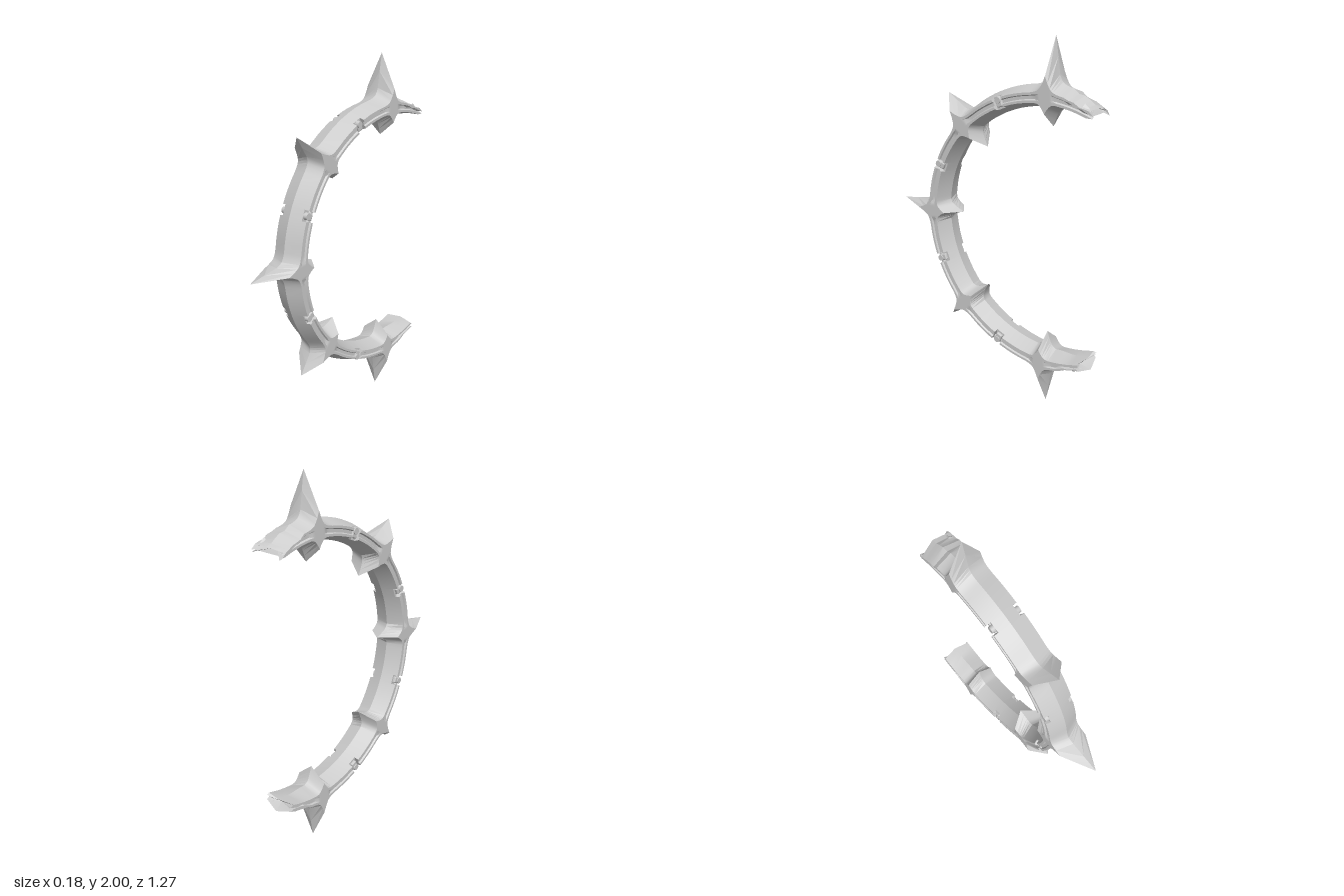
import * as THREE from 'three';
import { toCreasedNormals } from 'three/addons/utils/BufferGeometryUtils.js';
import { RoundedBoxGeometry } from 'three/addons/geometries/RoundedBoxGeometry.js';

const DEG = Math.PI / 180;
const HALF = 0.09;           // half width of the band
const CENTER_Z = -0.36;      // the arc is centred on (y = 1, z = CENTER_Z)
const BREAK = 98, END = 111; // where the broken ends begin and finish
const SPIKES = [-90, -45, 0, 45, 90];
const NOTCHES = [-67.5, -22.5, 22.5, 67.5];

// Radius profiles beside a spike, by angular distance in degrees
const STEPS = [0, 1, 2, 2.7, 3.5, 5, 7];
const OUTER_RIDGE = [1.0, 0.905, 0.82, 0.798, 0.785, 0.775, 0.77];
const OUTER_EDGE = [0.82, 0.788, 0.765, 0.755, 0.749, 0.743, 0.74];
const INNER_RIDGE = [0.565, 0.597, 0.625, 0.64, 0.65, 0.66, 0.66];
const INNER_EDGE = [0.64, 0.659, 0.674, 0.682, 0.687, 0.69, 0.69];

// Side face: share of the way from outer to inner edge, and groove depth
const SIDE = [[0, 0], [0.24, 0], [0.34, 1], [0.66, 1], [0.76, 0], [1, 0]];

const { lerp, clamp } = THREE.MathUtils;

function sample(table, d) {
  if (d >= 7) return table[6];
  const i = STEPS.findIndex((s, k) => k < 6 && d < STEPS[k + 1]);
  return lerp(table[i], table[i + 1], (d - STEPS[i]) / (STEPS[i + 1] - STEPS[i]));
}

const nearest = (list, a) => Math.min(...list.map(s => Math.abs(a - s)));
const hash = n => { const s = Math.sin(n * 12.9898) * 43758.5453; return s - Math.floor(s); };

// Point on the arc: angle in degrees from the front, sideways x, radius
const place = (a, x, r) =>
  new THREE.Vector3(x, 1 + r * Math.sin(a * DEG), CENTER_Z + r * Math.cos(a * DEG));

// One closed cross-section of the band, ordered outer ridge, left, inner ridge, right
function section(a) {
  const d = nearest(SPIKES, a);
  const w = nearest(NOTCHES, a) < 2.25 ? 0.066 : HALF;
  const short = Math.abs(Math.abs(a) - 45) < 8;
  let ridge = sample(OUTER_RIDGE, d);
  if (short) ridge = 0.77 + (ridge - 0.77) * 0.7;
  const inner = sample(INNER_RIDGE, d);
  const oe = lerp(ridge, sample(OUTER_EDGE, d), w / HALF);
  const ie = lerp(inner, sample(INNER_EDGE, d), w / HALF);
  const groove = 0.009 * clamp((d - 3) / 2, 0, 1);
  const left = SIDE.map(([t, g]) => [w - g * groove, lerp(oe, ie, t)]);
  const right = left.map(([x, r]) => [-x, r]).reverse();
  const points = [[0, ridge], ...left, [0, inner], ...right];

  // Wear the ends down to an uneven fracture
  const t = clamp((Math.abs(a) - BREAK) / (END - BREAK), 0, 1);
  const top = a > 0;
  return points.map(([x, r], j) => {
    let angle = a, radius = r;
    if (t > 0) {
      const rough = hash(j * 3.7 + (top ? 5 : 31));
      const chip = hash(j * 1.3 + Math.round(a));
      const worn = top && x < 0.03 ? 0.035 : 0.014;
      if (r > 0.72) radius -= t * worn + (t < 1 ? 0.012 : 0) * chip;
      if (r < 0.68) radius += t * 0.026 + 0.008 * chip * t;
      angle += Math.sign(a) * t * (rough * 3.2 - 2.1);
    }
    return place(angle, x, radius);
  });
}

function bandGeometry() {
  const angles = new Set();
  for (let a = -BREAK; a <= BREAK; a += 3.5) {
    if (nearest(SPIKES, a) > 8 && nearest(NOTCHES, a) > 3.5) angles.add(a);
  }
  for (const s of SPIKES) for (const d of STEPS) angles.add(s - d).add(s + d);
  for (const n of NOTCHES) for (const d of [2.24, 2.26]) angles.add(n - d).add(n + d);
  for (let k = 0; k <= 5; k++) {
    const a = lerp(BREAK, END, k / 5);
    angles.add(a).add(-a);
  }
  const list = [...angles].sort((p, q) => p - q);
  const rings = list.map(section);
  const n = rings[0].length;
  const pos = [];
  const tri = (a, b, c) => [a, b, c].forEach(v => pos.push(v.x, v.y, v.z));

  for (let i = 0; i < rings.length - 1; i++) {
    for (let j = 0; j < n; j++) {
      const k = (j + 1) % n, p = rings[i], q = rings[i + 1];
      tri(p[j], p[k], q[k]);
      tri(p[j], q[k], q[j]);
    }
  }
  // Hollowed fracture faces
  const first = rings[0], last = rings[rings.length - 1];
  const pitLow = place(-END + 3.5, 0.015, 0.715), pitHigh = place(END - 4, -0.02, 0.712);
  for (let j = 0; j < n; j++) {
    const k = (j + 1) % n;
    tri(pitLow, first[k], first[j]);
    tri(pitHigh, last[j], last[k]);
  }
  const geo = new THREE.BufferGeometry();
  geo.setAttribute('position', new THREE.Float32BufferAttribute(pos, 3));
  return toCreasedNormals(geo, 0.35);
}

export function createModel() {
  const model = new THREE.Group();
  model.name = 'spikedArc';
  const material = new THREE.MeshStandardMaterial({ color: 0xcccccc });
  const add = (geo, name, parent = model) => {
    const mesh = new THREE.Mesh(geo, material);
    mesh.name = name;
    parent.add(mesh);
    return mesh;
  };

  add(bandGeometry(), 'spikedBand');

  // Small lugs seated in the side notches
  const base = new RoundedBoxGeometry(0.022, 0.036, 0.04, 2, 0.006);
  const pin = new THREE.CylinderGeometry(0.017, 0.02, 0.024, 14).rotateZ(-Math.PI / 2);
  for (const a of NOTCHES) {
    for (const side of [1, -1]) {
      const lug = new THREE.Group();
      lug.name = side > 0 ? 'leftLug' : 'rightLug';
      lug.position.copy(place(a, side * 0.07, 0.712));
      lug.rotation.x = -a * DEG;
      add(base, 'lugBase', lug);
      const knob = add(pin, 'lugPin', lug);
      knob.position.set(side * 0.004, 0, 0.016);
      if (side < 0) knob.rotation.y = Math.PI;
      model.add(lug);
    }
  }

  // Splinters left on the broken ends: angle, x, radius, length
  for (const [a, x, r, len] of [[108, 0.065, 0.722, 0.05], [107, -0.06, 0.7, 0.06],
    [-108, 0.055, 0.725, 0.06], [-107, -0.05, 0.735, 0.07], [-108, 0.02, 0.7, 0.05]]) {
    const shard = add(new THREE.ConeGeometry(0.02, len, 4).toNonIndexed(), 'splinter');
    shard.geometry.computeVertexNormals();
    shard.position.copy(place(a, x, r));
    shard.rotation.x = -a * DEG + (a < 0 ? Math.PI : 0);
  }
  return model;
}
